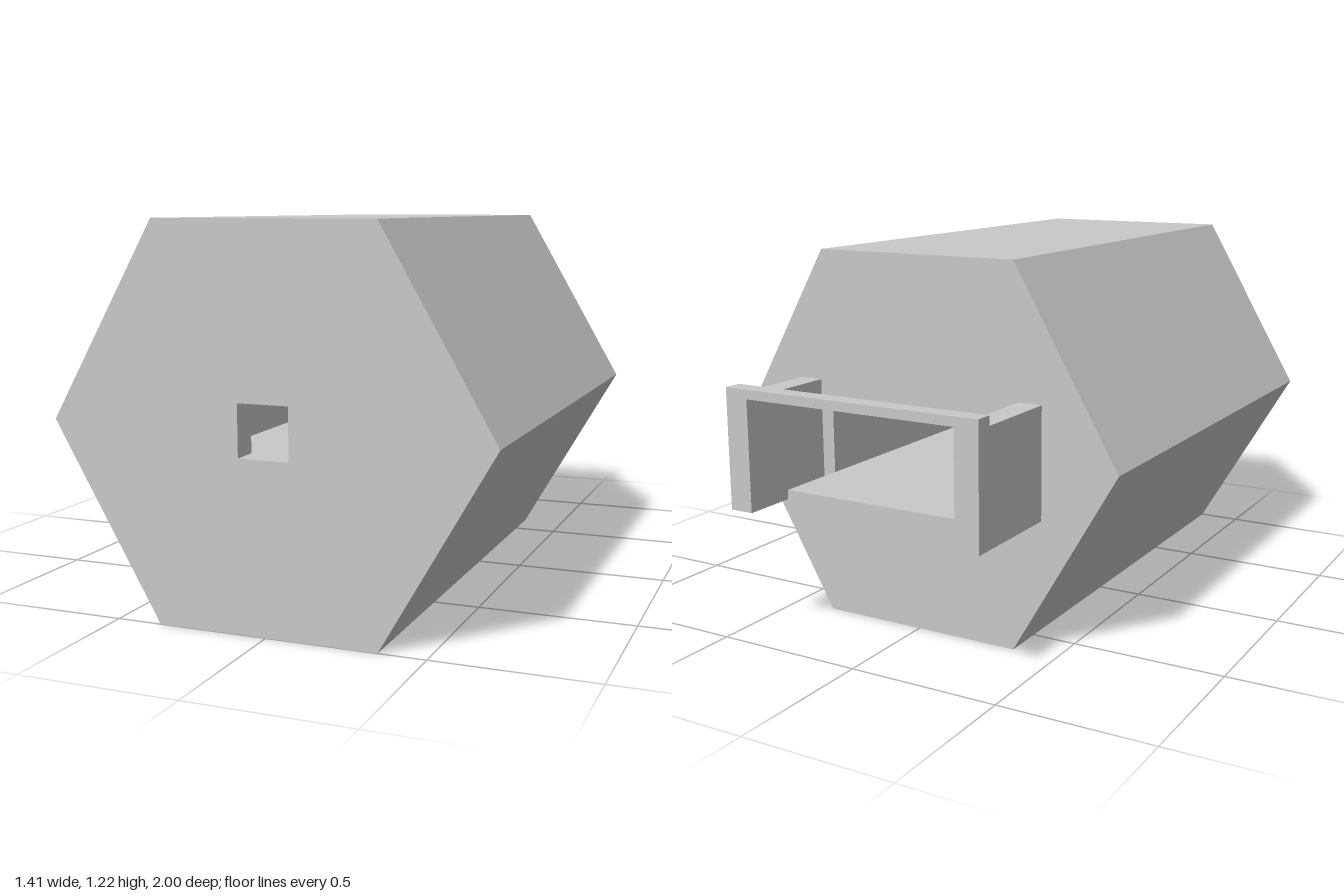
import * as THREE from 'three';

export function createModel() {
  const model = new THREE.Group();
  const grey = new THREE.MeshStandardMaterial({ color: 0xc8c8c8 });
  grey.name = 'plain grey';

  const add = (name, geometry, x = 0, y = 0, z = 0) => {
    const mesh = new THREE.Mesh(geometry, grey);
    mesh.name = name;
    mesh.position.set(x, y, z);
    model.add(mesh);
  };
  // Box given by its limits on each axis
  const addBox = (name, [x0, x1], [y0, y1], [z0, z1]) =>
    add(name, new THREE.BoxGeometry(x1 - x0, y1 - y0, z1 - z0),
      (x0 + x1) / 2, (y0 + y1) / 2, (z0 + z1) / 2);

  // Hexagonal slab along z with a rectangular opening
  const radius = 0.705, midY = radius * Math.sqrt(3) / 2;
  const hexSlab = (halfWidth, bottom, top, depth) => {
    const shape = new THREE.Shape();
    for (let i = 0; i < 6; i++) {
      const a = i * Math.PI / 3;
      const x = radius * Math.cos(a), y = midY + radius * Math.sin(a);
      if (i === 0) shape.moveTo(x, y); else shape.lineTo(x, y);
    }
    shape.closePath();
    const hole = new THREE.Path();
    hole.moveTo(-halfWidth, bottom);
    hole.lineTo(-halfWidth, top);
    hole.lineTo(halfWidth, top);
    hole.lineTo(halfWidth, bottom);
    hole.closePath();
    shape.holes.push(hole);
    return new THREE.ExtrudeGeometry(shape, { depth, bevelEnabled: false });
  };

  // Body with the wide tray slot, closed at the front by a wall with a small window
  const back = -0.635, wall = 0.914;
  add('body', hexSlab(0.325, 0.455, 0.74, wall - back), 0, 0, back);
  add('frontWall', hexSlab(0.081, 0.531, 0.693, 1 - wall), 0, 0, wall);

  // Tray floor sliding out of the slot
  addBox('tray', [-0.324, 0.324], [0.456, 0.486], [-0.88, wall]);

  // Rear bracket: two arms joined by a top bar
  for (const s of [-1, 1]) {
    addBox(s > 0 ? 'leftArm' : 'rightArm', s > 0 ? [0.37, 0.45] : [-0.45, -0.37],
      [0.435, 0.795], [-1, back]);
  }
  addBox('topBar', [-0.45, 0.45], [0.795, 0.825], [-1, -0.94]);

  return model;
}
